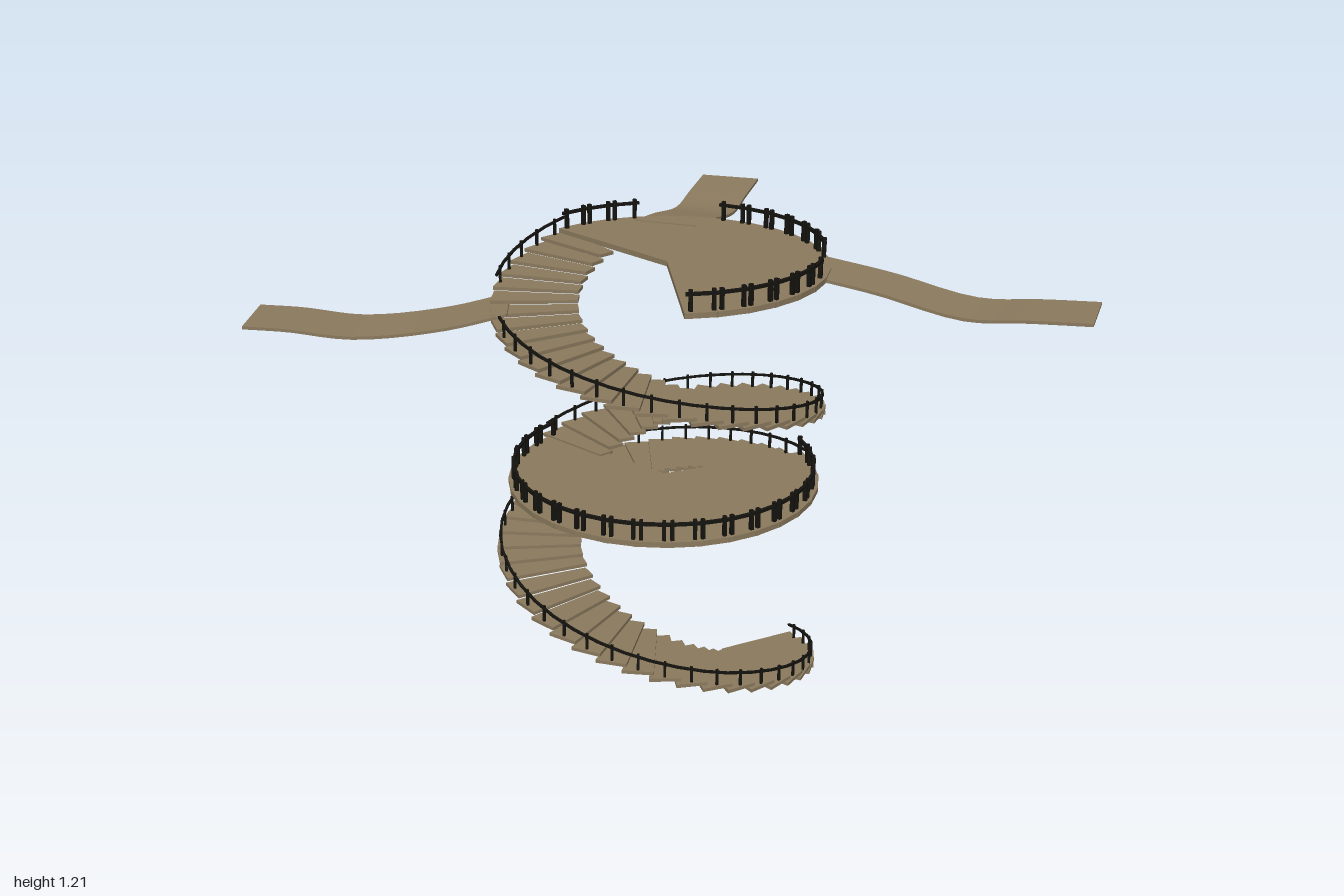
import * as THREE from 'three';

const wood = new THREE.MeshStandardMaterial({ color: 0x8b7a5e });
wood.name = 'weathered wood';
const iron = new THREE.MeshStandardMaterial({ color: 0x14130f });
iron.name = 'black iron';

// Plank running from inner to outer radius, narrower at the inner end
function wedgeGeometry(rIn, rOut, wIn, wOut, t) {
  const g = new THREE.BoxGeometry(rOut - rIn, t, 1);
  g.translate((rIn + rOut) / 2, -t / 2, 0);
  const p = g.attributes.position;
  for (let i = 0; i < p.count; i++) {
    const k = (p.getX(i) - rIn) / (rOut - rIn);
    p.setZ(i, p.getZ(i) * (wIn + (wOut - wIn) * k));
  }
  g.computeVertexNormals();
  return g;
}

function addMesh(parent, geometry, material, name, x = 0, y = 0, z = 0) {
  const m = new THREE.Mesh(geometry, material);
  m.name = name;
  m.position.set(x, y, z);
  parent.add(m);
  return m;
}

// Piecewise-linear lookup in [key, value] pairs
function lookup(table, a) {
  let i = 0;
  while (i < table.length - 2 && a > table[i + 1][0]) i++;
  const [a0, y0] = table[i], [a1, y1] = table[i + 1];
  return y0 + (y1 - y0) * (a - a0) / (a1 - a0);
}

const box = (x, y, z) => new THREE.BoxGeometry(x, y, z);
const stepGeo = wedgeGeometry(0.205, 0.425, 0.045, 0.08, 0.009);
const boardGeo = wedgeGeometry(0, 0.405, 0.012, 0.09, 0.014);
const stepPost = box(0.006, 0.044, 0.006);
const boardPost = box(0.01, 0.053, 0.009);

// Spiral flight: one tread, post and short rail per step
function flight(name, heights, count, skipRail) {
  const g = new THREE.Group();
  g.name = name;
  g.position.set(0.022, 0, 0.183);
  const a0 = heights[0][0], a1 = heights[heights.length - 1][0];
  const d = (a1 - a0) / (count - 1);
  for (let i = 0; i < count; i++) {
    const a = a0 + d * i;
    const step = new THREE.Group();
    step.name = 'step';
    step.position.y = lookup(heights, a);
    step.rotation.y = -a;
    g.add(step);
    addMesh(step, stepGeo, wood, 'tread');
    if (skipRail(a)) continue;
    const rise = lookup(heights, a + d) - lookup(heights, a);
    const run = d * 0.417;
    addMesh(step, stepPost, iron, 'railPost', 0.417, 0.022, 0);
    const rail = addMesh(step, box(0.006, 0.006, Math.hypot(run, rise)), iron, 'handRail', 0.417, 0.036, 0);
    rail.rotation.x = -Math.atan2(rise, run);
  }
  return g;
}

// Landing: a fan of boards with paired posts and a rail at the rim
function landing(name, x, y, z, a0, a1, count, skipRail) {
  const g = new THREE.Group();
  g.name = name;
  g.position.set(x, y, z);
  const d = (a1 - a0) / (count - 1);
  for (let i = 0; i < count; i++) {
    const a = a0 + d * i;
    const part = new THREE.Group();
    part.name = 'fanBoard';
    part.rotation.y = -a;
    g.add(part);
    addMesh(part, boardGeo, wood, 'board');
    if (skipRail(a)) continue;
    for (const s of [-1, 1]) addMesh(part, boardPost, iron, 'railPost', 0.392, 0.0265, s * 0.028);
    addMesh(part, box(0.008, 0.008, 0.08), iron, 'handRail', 0.392, 0.042, 0);
  }
  return g;
}

// Wavy walkway: a segmented plank bent along a curve
function walkway(name, points) {
  const curve = new THREE.CatmullRomCurve3(points.map(p => new THREE.Vector3(...p)));
  const g = new THREE.BoxGeometry(1, 0.008, 0.17, 18, 1, 1);
  const p = g.attributes.position;
  for (let i = 0; i < p.count; i++) {
    const u = Math.min(1, Math.max(0, p.getX(i) + 0.5));
    const c = curve.getPoint(u), t = curve.getTangent(u);
    const n = Math.hypot(t.x, t.z), w = p.getZ(i);
    p.setXYZ(i, c.x - t.z / n * w, c.y + p.getY(i), c.z + t.x / n * w);
  }
  g.computeVertexNormals();
  const m = new THREE.Mesh(g, wood);
  m.name = name;
  return m;
}

export function createModel() {
  const model = new THREE.Group();
  model.name = 'spiralStair';

  model.add(flight('lowerFlight',
    [[-0.06, 0.012], [1.57, 0.188], [3.14, 0.37], [4.71, 0.492], [6.2, 0.56]], 40, () => false));
  model.add(landing('lowerLanding', 0.04, 0.58, 0.17, 0.05, 4.1, 22, () => false));

  model.add(flight('upperFlight',
    [[4.3, 0.585], [6.28, 0.757], [7.85, 0.9], [9.42, 1.035], [10.6, 1.145]], 41,
    a => a > 9.45 && a < 9.95));
  // Rail openings where the two upper walkways leave
  model.add(landing('upperLanding', 0.06, 1.157, 0.145, 4.36, 8.0, 20,
    a => Math.abs(a - 5.06) < 0.28 || Math.abs(a - 6.75) < 0.25));

  model.add(walkway('rightWalkway',
    [[-0.34, 1.06, 0.07], [-0.5, 1.02, 0.015], [-0.7, 0.997, -0.06], [-0.85, 1.012, -0.125], [-0.953, 1.016, -0.17]]));
  model.add(walkway('backWalkway',
    [[0.16, 1.155, -0.17], [0.26, 1.13, -0.3], [0.39, 1.092, -0.47], [0.48, 1.1, -0.6], [0.57, 1.107, -0.73]]));
  model.add(walkway('frontWalkway',
    [[0.39, 1.155, 0.3], [0.53, 1.13, 0.41], [0.7, 1.09, 0.55], [0.82, 1.104, 0.65], [0.935, 1.113, 0.74]]));
  return model;
}
